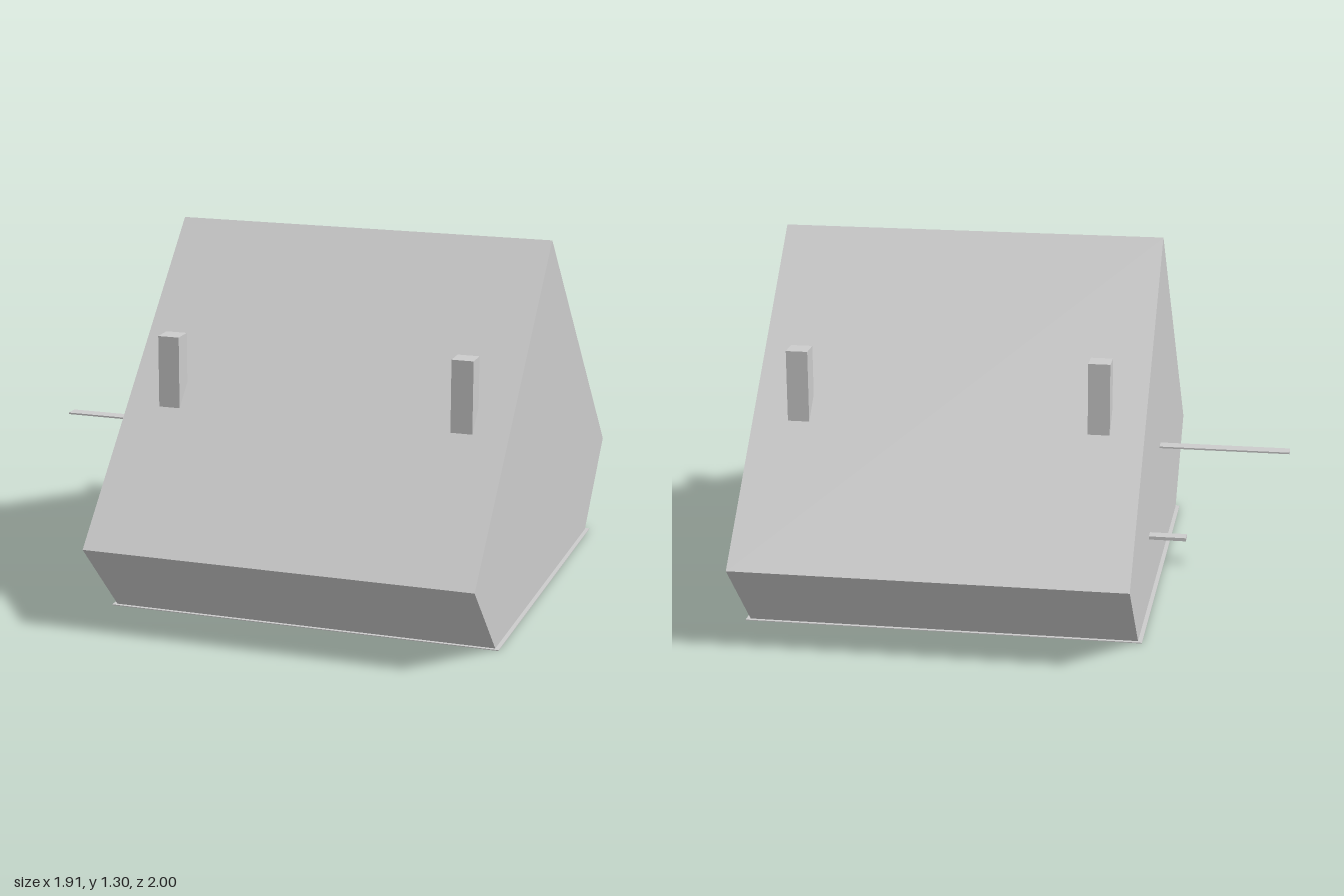
import * as THREE from 'three';

export function createModel() {
  const model = new THREE.Group();
  const material = new THREE.MeshStandardMaterial({ color: 0xcccccc, flatShading: true });

  const add = (name, geometry) => {
    const mesh = new THREE.Mesh(geometry, material);
    mesh.name = name;
    model.add(mesh);
    return mesh;
  };

  // Box given by its lower and upper limits on each axis
  const box = (name, [x0, x1], [y0, y1], [z0, z1]) =>
    add(name, new THREE.BoxGeometry(x1 - x0, y1 - y0, z1 - z0))
      .position.set((x0 + x1) / 2, (y0 + y1) / 2, (z0 + z1) / 2);

  // Gabled body: five-sided profile extruded along x
  const width = 1.41;
  const profile = new THREE.Shape([
    [-0.707, 0.003], [0.707, 0.003], [1, 0.3], [0, 1.3], [-1, 0.3],
  ].map(([z, y]) => new THREE.Vector2(z, y)));
  const bodyGeometry = new THREE.ExtrudeGeometry(profile, { depth: width, bevelEnabled: false });
  bodyGeometry.rotateY(Math.PI / 2);
  add('body', bodyGeometry).position.x = -0.47;

  // Thin plate under the body
  box('basePlate', [-0.485, 0.955], [0, 0.003], [-0.72, 0.72]);

  // Four square posts standing on the roof slopes
  for (const x of [-0.308, 0.772]) {
    for (const z of [-0.54, 0.54]) {
      box('roofPost', [x - 0.039, x + 0.039], [0.715, 0.98], [z - 0.039, z + 0.039]);
    }
  }

  // Flat bars sticking out of the right gable
  box('longBar', [-0.955, -0.46], [0.497, 0.503], [-0.025, 0.025]);
  box('shortBar', [-0.605, -0.46], [0.264, 0.276], [-0.378, -0.334]);

  return model;
}
